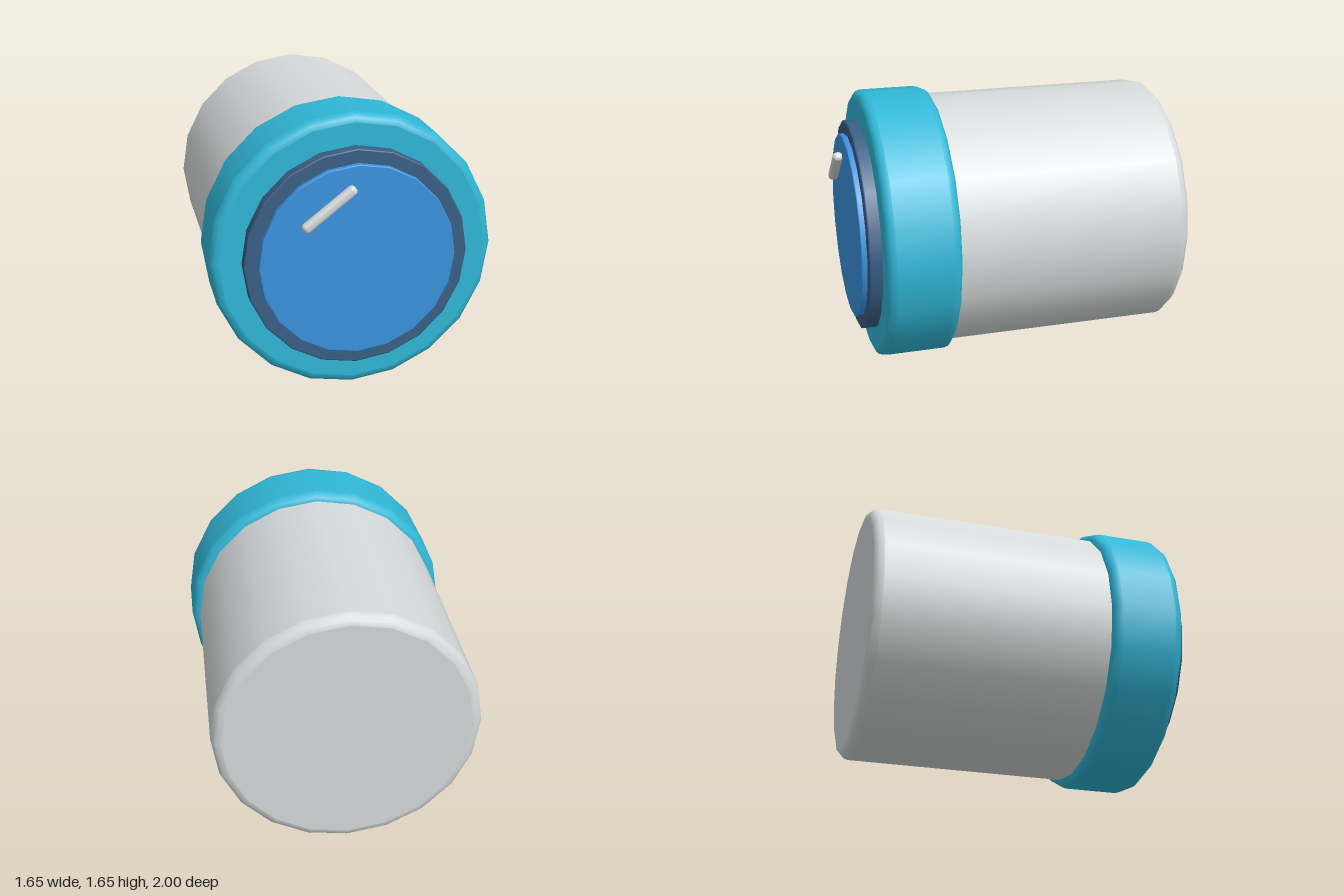
import * as THREE from 'three';
import { RoundedBoxGeometry } from 'three/addons/geometries/RoundedBoxGeometry.js';

const SIDES = 20;
const CENTER_Y = 0.825;

const paint = (name, color) => {
  const m = new THREE.MeshStandardMaterial({ color });
  m.name = name;
  return m;
};

// Closed disc along z with rounded rims; close support rings keep the flats flat
function roundedDisc(radius, back, front, bevelBack, bevelFront) {
  const pts = [];
  const add = (r, z) => pts.push(new THREE.Vector2(r, z));
  const e = 0.002, steps = 3;
  add(0, back);
  add(radius - bevelBack - e, back);
  for (let i = 0; i <= steps; i++) {
    const a = (i / steps) * Math.PI / 2;
    add(radius - bevelBack + bevelBack * Math.sin(a), back + bevelBack - bevelBack * Math.cos(a));
  }
  add(radius, back + bevelBack + e);
  add(radius, front - bevelFront - e);
  for (let i = 0; i <= steps; i++) {
    const a = (i / steps) * Math.PI / 2;
    add(radius - bevelFront + bevelFront * Math.cos(a), front - bevelFront + bevelFront * Math.sin(a));
  }
  add(radius - bevelFront - e, front);
  add(0, front);
  return new THREE.LatheGeometry(pts, SIDES).rotateX(Math.PI / 2);
}

export function createModel() {
  const group = new THREE.Group();
  group.name = 'canister';

  const grey = paint('light grey', 0xd6dada);
  const teal = paint('teal', 0x30b7d7);
  const navy = paint('slate blue', 0x3a5f85);
  const blue = paint('blue', 0x3a93df);

  const part = (name, geometry, material, x = 0, y = CENTER_Y, z = 0) => {
    const mesh = new THREE.Mesh(geometry, material);
    mesh.name = name;
    mesh.position.set(x, y, z);
    group.add(mesh);
    return mesh;
  };

  // Stacked round parts, back to front
  part('body', roundedDisc(0.775, -1, 0.5, 0.055, 0.02), grey);
  part('collar', roundedDisc(0.825, 0.405, 0.838, 0.05, 0.05), teal);
  part('rim', roundedDisc(0.645, 0.8, 0.912, 0.008, 0.008), navy);
  part('face', roundedDisc(0.565, 0.88, 0.945, 0.006, 0.006), blue);

  // Slanted highlight bar on the face
  const bar = part('bar', new RoundedBoxGeometry(0.37, 0.057, 0.06, 3, 0.024), grey, -0.174, 1.155, 0.97);
  bar.rotation.z = 0.66;

  return group;
}
